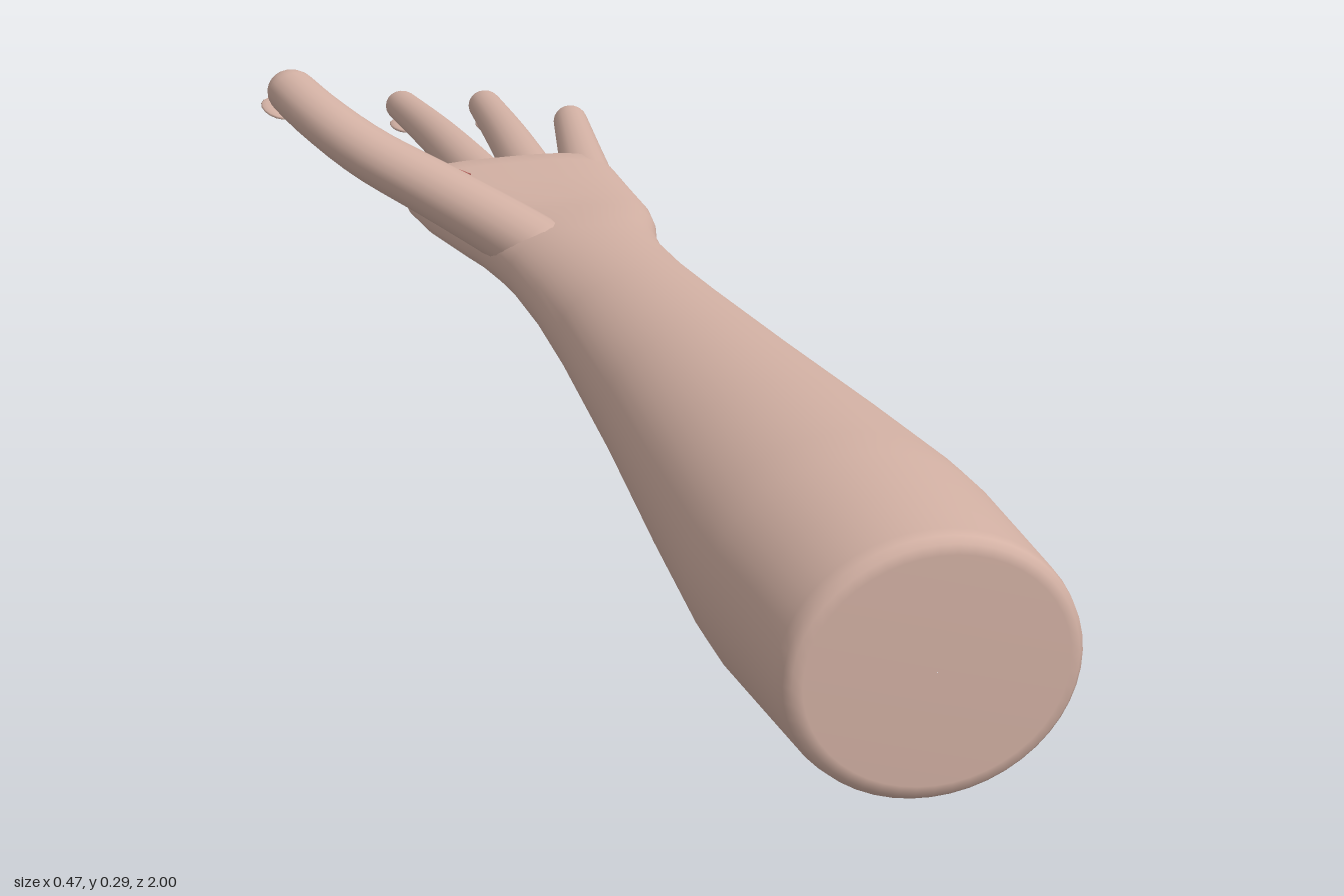
import * as THREE from 'three';

const skin = new THREE.MeshStandardMaterial({ color: 0xd3b1a4 });
skin.name = 'skin';
const red = new THREE.MeshStandardMaterial({ color: 0xb0605a });
red.name = 'red';

// Smooth skin over a list of closed rings of Vector3
function loft(rings) {
  const n = rings[0].length, index = [];
  for (let i = 0; i < rings.length - 1; i++) {
    for (let j = 0; j < n; j++) {
      const a = i * n + j, b = i * n + (j + 1) % n;
      index.push(a, a + n, b, b, a + n, b + n);
    }
  }
  const g = new THREE.BufferGeometry().setFromPoints(rings.flat());
  g.setIndex(index);
  g.computeVertexNormals();
  return g;
}

// Superellipse cross-section: power 1 is round, smaller is boxier
function section([z, left, right, bottom, top, power = 1], sides = 48) {
  const soft = v => Math.sign(v) * Math.abs(v) ** power;
  return Array.from({ length: sides }, (_, j) => {
    const a = j / sides * Math.PI * 2;
    return new THREE.Vector3(
      (left + right) / 2 + (right - left) / 2 * soft(Math.cos(a)),
      (bottom + top) / 2 + (top - bottom) / 2 * soft(Math.sin(a)), z);
  });
}

// Tapered digit along a curve with a rounded tip
function digit(points, r0, r1, flat = 1) {
  const curve = new THREE.CatmullRomCurve3(points.map(p => new THREE.Vector3(...p)));
  const cap = 1 - r1 * 1.2 / curve.getLength(), rings = [];
  const ts = [0, 0.001];
  for (let i = 1; i <= 16; i++) ts.push(cap * i / 16);
  for (let i = 1; i <= 8; i++) ts.push(cap + (1 - cap) * Math.sin(i / 8 * Math.PI / 2));
  ts.forEach((t, k) => {
    const c = curve.getPointAt(Math.min(t, 1)), dir = curve.getTangentAt(Math.min(t, 1));
    const side = new THREE.Vector3().crossVectors(dir, new THREE.Vector3(0, 1, 0)).normalize();
    const up = new THREE.Vector3().crossVectors(side, dir);
    let r = THREE.MathUtils.lerp(r0, r1, t);
    if (k === 0) r = 0.0005;
    if (t > cap) r *= Math.sqrt(Math.max(0.0004, 1 - ((t - cap) / (1 - cap)) ** 2));
    rings.push(Array.from({ length: 20 }, (_, j) => {
      const a = j / 20 * Math.PI * 2;
      return c.clone().addScaledVector(side, r * Math.cos(a)).addScaledVector(up, r * flat * Math.sin(a));
    }));
  });
  return loft(rings);
}

export function createModel() {
  const model = new THREE.Group();
  model.name = 'forearmAndHand';
  const add = (name, geometry, material = skin) => {
    const m = new THREE.Mesh(geometry, material);
    m.name = name;
    model.add(m);
    return m;
  };

  // Forearm, wrist and palm: z, left, right, bottom, top, power
  const profile = [
    [1, 0.065, 0.066, 0.146, 0.147],
    [1, -0.075, 0.207, 0.023, 0.271],
    [0.998, -0.086, 0.217, 0.012, 0.282],
    [0.99, -0.093, 0.223, 0.006, 0.288],
    [0.975, -0.096, 0.226, 0.004, 0.29],
    [0.88, -0.1, 0.229, 0.003, 0.291],
    [0.77, -0.105, 0.233, 0.003, 0.291],
    [0.7, -0.103, 0.231, 0.007, 0.288],
    [0.5, -0.086, 0.215, 0.026, 0.271],
    [0.25, -0.061, 0.191, 0.05, 0.249],
    [0, -0.041, 0.172, 0.074, 0.226],
    [-0.13, -0.034, 0.166, 0.085, 0.213],
    [-0.24, -0.033, 0.165, 0.093, 0.203, 0.95],
    [-0.3, -0.036, 0.173, 0.095, 0.197, 0.9],
    [-0.36, -0.042, 0.19, 0.097, 0.188, 0.85],
    [-0.41, -0.052, 0.198, 0.099, 0.183, 0.78],
    [-0.5, -0.068, 0.2, 0.101, 0.178, 0.7],
    [-0.57, -0.073, 0.2, 0.103, 0.178, 0.65],
    [-0.605, -0.07, 0.198, 0.105, 0.175, 0.65],
    [-0.63, -0.061, 0.189, 0.11, 0.166, 0.65],
    [-0.643, -0.045, 0.175, 0.12, 0.156, 0.7],
    [-0.647, 0.064, 0.066, 0.138, 0.139],
  ];
  add('forearmAndPalm', loft(profile.map(p => section(p))));

  // Fingers, palm side up, each with a nail underneath
  const fingers = [
    ['indexFinger', -0.033, -0.58, -0.087, -0.94, 0.142],
    ['middleFinger', 0.04, -0.58, 0.022, -1.0, 0.132],
    ['ringFinger', 0.1, -0.58, 0.13, -0.965, 0.134],
    ['littleFinger', 0.163, -0.56, 0.217, -0.845, 0.143],
  ];
  for (const [name, x0, z0, x1, z1, y1] of fingers) {
    const mid = [(x0 + x1) / 2, 0.141, (z0 + z1) / 2];
    add(name, digit([[x0, 0.14, z0], mid, [x1, y1, z1]], 0.034, 0.021, 0.93));
    const nail = add(name + 'Nail', new THREE.SphereGeometry(1, 16, 8));
    nail.scale.set(0.017, 0.0045, 0.03);
    nail.position.set(x1, y1 - 0.023, z1 + 0.035);
    nail.rotation.y = Math.atan2(x0 - x1, z0 - z1);
  }

  // Thumb, raised out to the side
  add('thumb', digit([
    [0.035, 0.155, -0.25], [-0.01, 0.175, -0.33], [-0.07, 0.2, -0.42],
    [-0.135, 0.227, -0.51], [-0.175, 0.25, -0.59], [-0.205, 0.271, -0.7],
  ], 0.044, 0.031, 0.9));
  const thumbNail = add('thumbNail', new THREE.SphereGeometry(1, 16, 8));
  thumbNail.scale.set(0.02, 0.0045, 0.03);
  thumbNail.position.set(-0.215, 0.246, -0.665);
  thumbNail.rotation.set(0.2, 0.25, 0);

  // Red pieces in the hollow between thumb and palm
  const strip = add('redStrip', new THREE.BoxGeometry(0.07, 0.02, 0.048), red);
  strip.position.set(-0.055, 0.194, -0.495);
  strip.rotation.set(0, 0.42, -0.2);
  const sliver = add('redSliver', new THREE.BoxGeometry(0.012, 0.012, 0.05), red);
  sliver.position.set(0, 0.186, -0.385);
  sliver.rotation.y = 0.65;

  return model;
}
